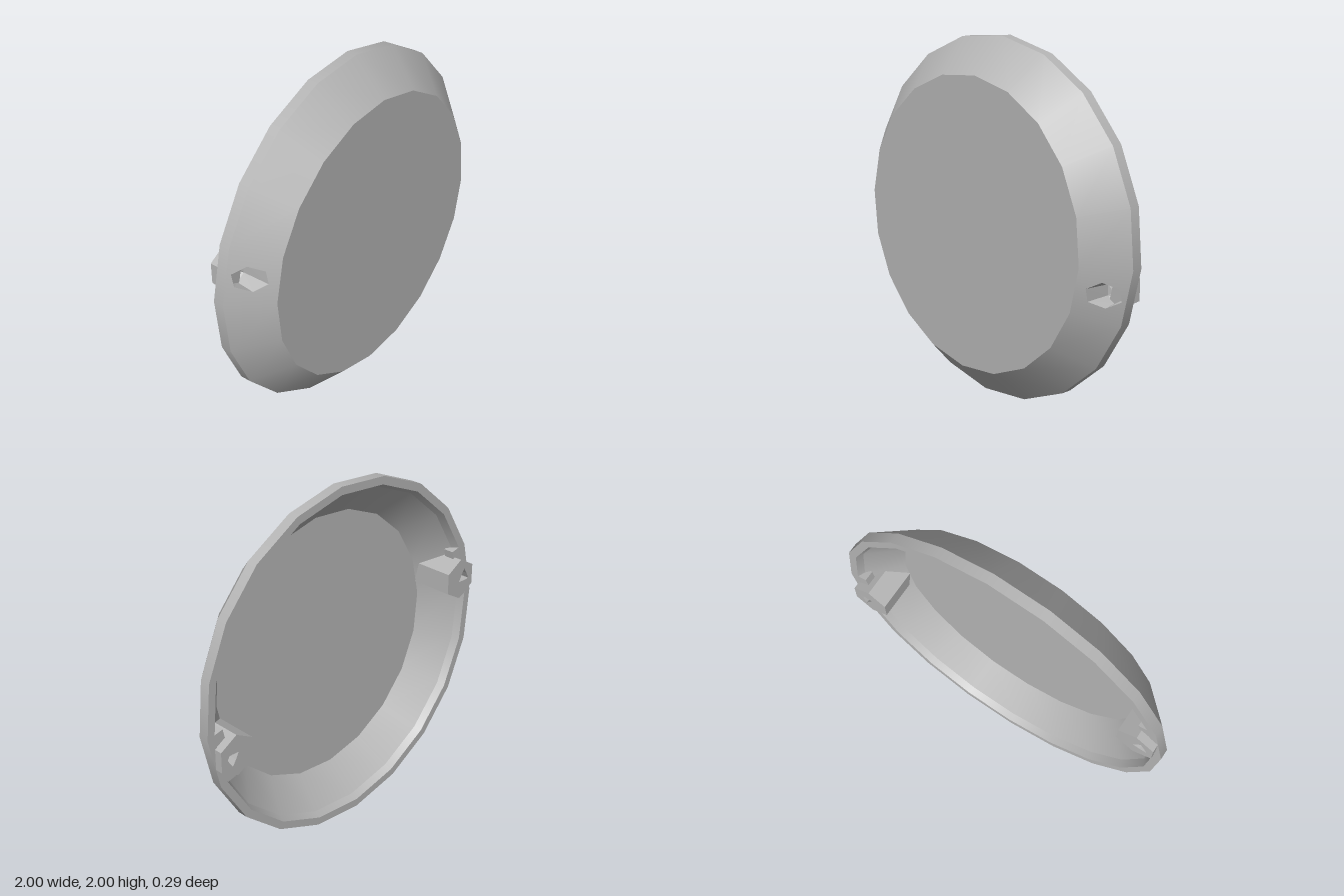
import * as THREE from 'three';

const SIDES = 20;
const STEP = (Math.PI * 2) / SIDES;
const BOSS_ANGLE = THREE.MathUtils.degToRad(167.3);
const RIM = 1.0, RIM_Z = -0.04, FACE = 0.81, FACE_Z = 0.145, BACK_Z = -0.10;
const SLOPE = (FACE_Z - RIM_Z) / (RIM - FACE);

// height of the outer bevel along a flat panel, from its distance to the axis
const bevelZ = (x) => FACE_Z - (x / Math.cos(STEP / 2) - FACE) * SLOPE;

// one band of the dish, turned about the z axis
function band(a, b, start, segments) {
  const pts = [new THREE.Vector2(...a), new THREE.Vector2(...b)];
  const g = new THREE.LatheGeometry(pts, segments, start + Math.PI / 2, segments * STEP);
  return g.rotateX(Math.PI / 2);
}

// six-point loop; odd points may be pulled in to make a triangle
function loop(cx, r, z, odd = 1) {
  return Array.from({ length: 6 }, (_, i) => {
    const a = THREE.MathUtils.degToRad(42.7 + i * 60);
    const rr = i % 2 ? r * odd : r;
    const x = cx + rr * Math.cos(a), y = rr * Math.sin(a);
    return [x, y, typeof z === 'function' ? z(x, y) : z];
  });
}

// flat faces running through a chain of loops
function skin(loops) {
  const pos = [];
  for (let k = 0; k < loops.length - 1; k++) {
    const A = loops[k], B = loops[k + 1];
    for (let i = 0; i < 6; i++) {
      const j = (i + 1) % 6;
      pos.push(...A[i], ...A[j], ...B[j], ...A[i], ...B[j], ...B[i]);
    }
  }
  const g = new THREE.BufferGeometry();
  g.setAttribute('position', new THREE.Float32BufferAttribute(pos, 3));
  g.computeVertexNormals();
  return g;
}

// bevel panel pierced by the screw recess, with the bevel's smooth normals
function piercedPanel(hole) {
  const c = Math.cos(STEP / 2), s = Math.sin(STEP / 2);
  const shape = new THREE.Shape([[FACE, -1], [RIM, -1], [RIM, 1], [FACE, 1]]
    .map(([r, d]) => new THREE.Vector2(r * c, d * r * s)));
  shape.holes.push(new THREE.Path(hole.map(([x, y]) => new THREE.Vector2(x, y))));
  const g = new THREE.ShapeGeometry(shape);
  const p = g.attributes.position, n = g.attributes.normal;
  const v = new THREE.Vector3();
  for (let i = 0; i < p.count; i++) {
    const x = p.getX(i), y = p.getY(i), r = Math.hypot(x, y);
    p.setZ(i, bevelZ(x));
    v.set((x / r) * SLOPE, (y / r) * SLOPE, 1).normalize();
    n.setXYZ(i, v.x, v.y, v.z);
  }
  return g;
}

export function createModel() {
  const model = new THREE.Group();
  model.name = 'roundCover';
  const grey = new THREE.MeshStandardMaterial({ color: 0xb4b4b4 });
  grey.name = 'grey';
  const add = (parent, name, geometry) => {
    const mesh = new THREE.Mesh(geometry, grey);
    mesh.name = name;
    parent.add(mesh);
    return mesh;
  };

  const cover = new THREE.Group();
  cover.name = 'cover';
  cover.position.y = 1;
  model.add(cover);

  // dish, everything but the bevel
  const start = BOSS_ANGLE + STEP / 2;
  const bands = [
    ['frontFace', [FACE, FACE_Z], [0, FACE_Z]],
    ['rimEdge', [RIM, BACK_Z], [RIM, RIM_Z]],
    ['backRim', [0.955, BACK_Z], [RIM, BACK_Z]],
    ['innerLip', [0.935, -0.06], [0.955, BACK_Z]],
    ['innerBevel', [0.77, 0.10], [0.935, -0.06]],
    ['innerFloor', [0, 0.10], [0.77, 0.10]],
  ];
  for (const [name, a, b] of bands) add(cover, name, band(a, b, start, SIDES));

  // each half: bevel, pierced panel and screw boss
  for (const side of ['right', 'left']) {
    const half = new THREE.Group();
    half.name = side + 'Half';
    half.rotation.z = BOSS_ANGLE + (side === 'left' ? Math.PI : 0);
    cover.add(half);

    add(half, 'bevel', band([RIM, RIM_Z], [FACE, FACE_Z], STEP / 2, SIDES / 2 - 1));

    const recess = loop(0.905, 0.07, (x) => bevelZ(x));
    add(half, 'piercedPanel', piercedPanel(recess));

    // recess, triangular screw hole and hexagonal boss as one skin
    add(half, 'screwBoss', skin([
      recess,
      loop(0.905, 0.058, -0.045),
      loop(0.905, 0.047, -0.06, 0.55),
      loop(0.905, 0.047, -0.145, 0.55),
      loop(0.872, 0.12, -0.145),
      loop(0.872, 0.12, (x, y) => Math.min(0.12, bevelZ(Math.hypot(x, y)) - 0.03)),
    ]));

    // web tying the boss to the rim
    const web = add(half, 'bossWeb', new THREE.BoxGeometry(0.08, 0.32, 0.06));
    web.position.set(0.925, 0, -0.068);
  }
  return model;
}
